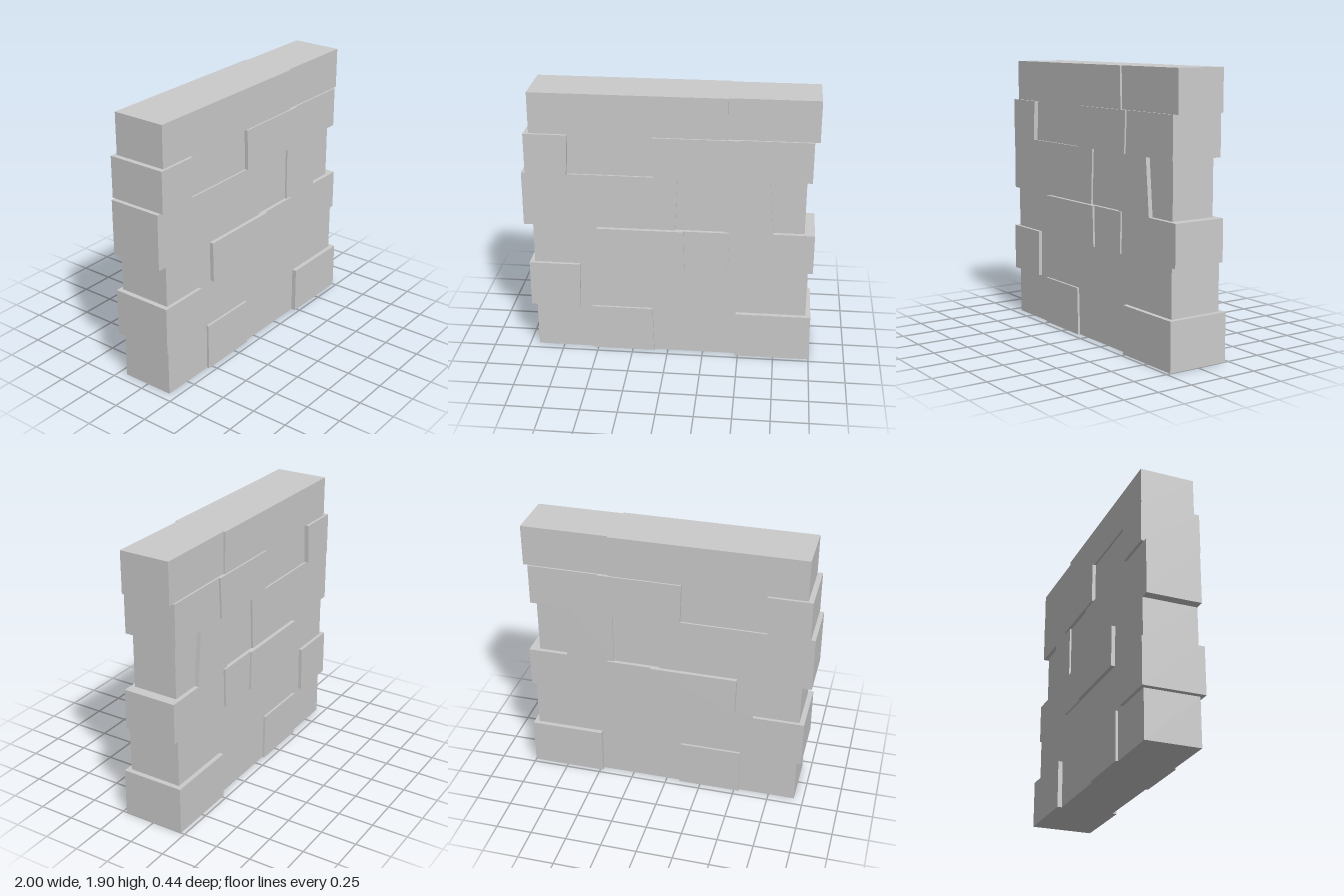
import * as THREE from 'three';

const WALL = 0.19; // half depth of the plain wall

// Each course: bottom, top, then stones split by slanted joints.
// joints: [x at bottom, x at top]; depths: half depth of the stone between two joints.
const courses = [
  { y: [0, 0.335],
    joints: [[-0.935, -0.935], [-0.535, -0.535], [-0.097, -0.108], [0.48, 0.48], [1, 1]],
    depths: [WALL, 0.206, WALL, 0.222] },
  { y: [0.335, 0.665],
    joints: [[-0.97, -0.97], [-0.62, -0.614], [0.965, 0.965]],
    depths: [0.214, WALL] },
  { y: [0.665, 0.95],
    joints: [[-0.935, -0.935], [-0.487, -0.493], [0.117, 0.108], [0.416, 0.423], [1, 1]],
    depths: [WALL, 0.217, 0.203, WALL] },
  { y: [0.95, 1.335],
    joints: [[-1, -1], [0.05, 0.065], [0.38, 0.38], [0.72, 0.685], [0.93, 0.93]],
    depths: [WALL, 0.177, WALL, 0.16] },
  { y: [1.335, 1.62],
    joints: [[-0.97, -0.97], [-0.688, -0.672], [-0.093, -0.102], [0.46, 0.473], [0.965, 0.965]],
    depths: [0.209, 0.177, 0.202, WALL] },
  { y: [1.62, 1.905],
    joints: [[-0.935, -0.935], [0.4, 0.396], [1, 1]],
    depths: [WALL, 0.177] },
];

// A stone runs through the whole wall, so front and back match
function makeStone(left, right, [y0, y1], half, material) {
  const face = new THREE.Shape([
    new THREE.Vector2(left[0], y0),
    new THREE.Vector2(right[0], y0),
    new THREE.Vector2(right[1], y1),
    new THREE.Vector2(left[1], y1),
  ]);
  const geometry = new THREE.ExtrudeGeometry(face, { depth: 2 * half, bevelEnabled: false });
  geometry.translate(0, 0, -half);
  return new THREE.Mesh(geometry, material);
}

export function createModel() {
  const wall = new THREE.Group();
  wall.name = 'stoneWall';
  const material = new THREE.MeshStandardMaterial({ color: 0xcccccc, flatShading: true });

  courses.forEach(({ y, joints, depths }, row) => {
    const course = new THREE.Group();
    course.name = `course${row + 1}`;
    depths.forEach((half, i) => {
      const stone = makeStone(joints[i], joints[i + 1], y, half, material);
      const kind = half > WALL ? 'raisedStone' : half < WALL ? 'recessedStone' : 'plainStone';
      stone.name = `${kind}${i + 1}`;
      course.add(stone);
    });
    wall.add(course);
  });
  return wall;
}
